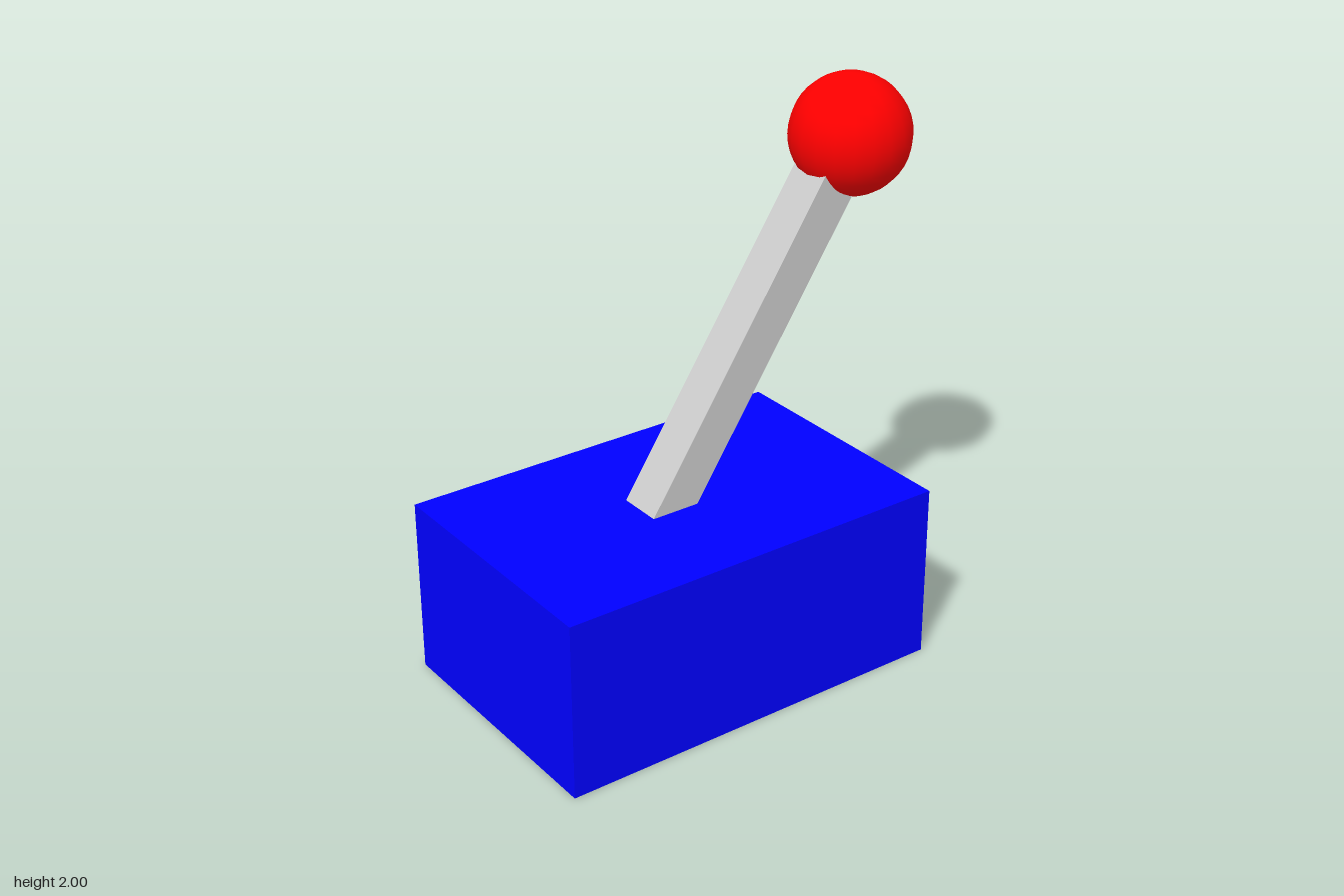
import * as THREE from 'three';

const material = (color) => new THREE.MeshStandardMaterial({ color });

export function createModel() {
  const model = new THREE.Group();
  model.name = 'lever';

  const add = (name, geometry, color, x, y, z = 0) => {
    const mesh = new THREE.Mesh(geometry, material(color));
    mesh.name = name;
    mesh.position.set(x, y, z);
    model.add(mesh);
    return mesh;
  };

  // Block base
  add('base', new THREE.BoxGeometry(1.465, 0.64, 0.955), 0x0000ff, -0.108, 0.32);

  // Square bar leaning towards +x, from inside the base to the knob centre
  const foot = new THREE.Vector2(-0.29, 0.44);
  const top = new THREE.Vector2(0.607, 1.79);
  const along = top.clone().sub(foot);
  const middle = foot.clone().add(top).multiplyScalar(0.5);
  const shaft = add('shaft', new THREE.BoxGeometry(0.15, along.length(), 0.162),
    0xcccccc, middle.x, middle.y);
  shaft.rotation.z = -Math.atan2(along.x, along.y);

  // Round knob
  add('knob', new THREE.SphereGeometry(0.211, 20, 20), 0xff0000, 0.626, 1.789);

  return model;
}
